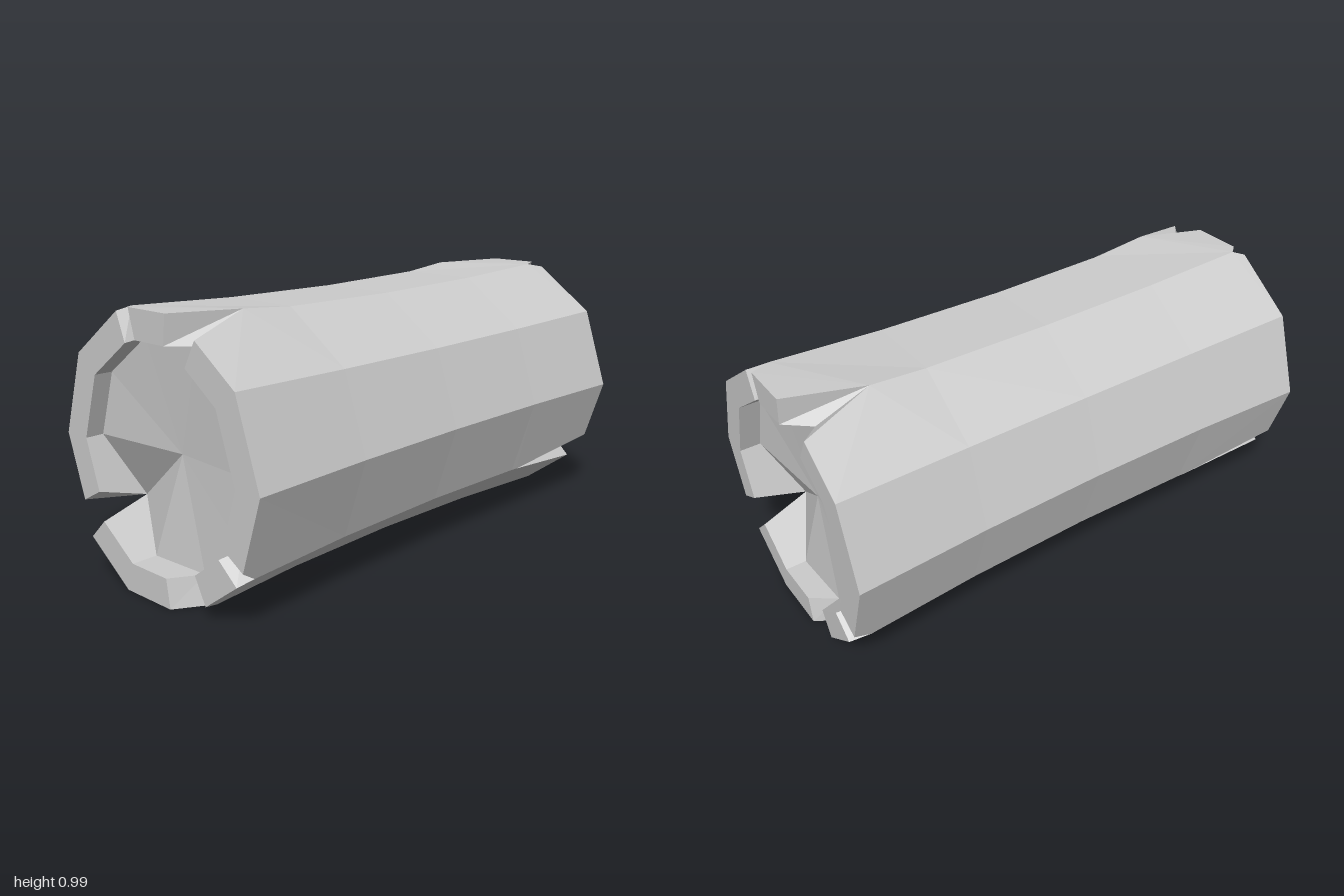
import * as THREE from 'three';

const SIDES = 10, OUTER = 0.52, INNER = 0.408, CENTER_Y = 0.4955;

// Splits at the end of the log, keyed by corner: depth where the outer corner
// opens, depth of the inner corner, share cut from the previous and next face.
const SPLITS = {
  2: { apex: 0.72, inner: 0.89, prev: 0.31, next: 0.31 },
  3: { apex: 0.925, inner: 0.9, prev: 0.09, next: 0.09 },
  6: { apex: 0.53, inner: 0.78, prev: 0.22, next: 0.23 },
  8: { apex: 0.87, inner: 0.89, prev: 0.27, next: 0.26 },
  9: { apex: 0.93, inner: 0.9, prev: 0.14, next: 0.13 },
};

// Point on the corner line k (wraps round) of a decagon
function corner(k, radius, z) {
  const a = (k % SIDES) * Math.PI * 2 / SIDES;
  return new THREE.Vector3(Math.cos(a) * radius, Math.sin(a) * radius, z);
}

// Point part-way along face k
function along(k, t, radius, z) {
  return corner(k, radius, z).lerp(corner(k + 1, radius, z), t);
}

// Mesh from a list of convex polygons, each fanned into triangles
function polygonMesh(name, polygons, material) {
  const points = [];
  for (const p of polygons) {
    for (let i = 1; i < p.length - 1; i++) points.push(p[0], p[i], p[i + 1]);
  }
  const geometry = new THREE.BufferGeometry().setFromPoints(points);
  geometry.computeVertexNormals();
  const mesh = new THREE.Mesh(geometry, material);
  mesh.name = name;
  return mesh;
}

// One half of the log, from the waist to its split, hollowed end
function logHalf(name, rimZ, shift, material) {
  const bark = [], rim = [], lip = [], core = [], walls = [];
  const center = new THREE.Vector3(0, 0, 0.865 + shift);
  const apexOf = (k) => {
    const s = SPLITS[k % SIDES];
    if (!s) return corner(k, OUTER, rimZ[k % SIDES]);
    return corner(k, s.apex < 0.6 ? 0.5 : 0.518, s.apex);
  };
  const innerOf = (k) => {
    const s = SPLITS[k % SIDES];
    return corner(k, INNER, (s ? s.inner : 0.9) + shift);
  };

  for (let k = 0; k < SIDES; k++) {
    const startSplit = SPLITS[k], endSplit = SPLITS[(k + 1) % SIDES];
    const t0 = startSplit ? startSplit.next : 0;
    const t1 = endSplit ? 1 - endSplit.prev : 1;
    const z = rimZ[k];
    const a0 = apexOf(k), a1 = apexOf(k + 1);
    const b0 = innerOf(k), b1 = innerOf(k + 1);
    const o0 = along(k, t0, OUTER, z), o1 = along(k, t1, OUTER, z);
    const i0 = along(k, t0, INNER, z), i1 = along(k, t1, INNER, z);

    // Bark: slim waist strip, then the flared end
    const w0 = corner(k, 0.49, 0), w1 = corner(k + 1, 0.49, 0);
    const m0 = corner(k, 0.498, 0.5), m1 = corner(k + 1, 0.498, 0.5);
    bark.push([w0, w1, m1, m0], [m0, m1, a1, a0], [a0, a1, o1, o0]);

    // End ring, its inside wall and the sunken core
    rim.push([i0, o0, o1, i1]);
    lip.push([b0, i0, i1, b1]);
    core.push([center, b0, b1]);

    // Cut faces of the splits
    if (startSplit) walls.push([a0, o0, i0, b0]);
    if (endSplit) walls.push([b1, i1, o1, a1]);
  }

  const half = new THREE.Group();
  half.name = name;
  half.add(
    polygonMesh('bark', bark, material),
    polygonMesh('endRing', rim, material),
    polygonMesh('ringInside', lip, material),
    polygonMesh('woodCore', core, material),
    polygonMesh('splitWalls', walls, material),
  );
  return half;
}

export function createModel() {
  const material = new THREE.MeshStandardMaterial({ color: 0xcccccc, flatShading: true });
  const log = new THREE.Group();
  log.name = 'log';

  // The front ring pieces are slightly uneven, the back ones are flush
  const frontRim = [0.99, 0.99, 0.96, 0.97, 0.97, 0.97, 1, 1, 0.975, 0.99];
  const front = logHalf('frontHalf', frontRim, 0, material);
  const back = logHalf('backHalf', new Array(SIDES).fill(1), 0.02, material);
  back.rotation.y = Math.PI;

  for (const half of [front, back]) {
    half.position.y = CENTER_Y;
    log.add(half);
  }
  return log;
}
